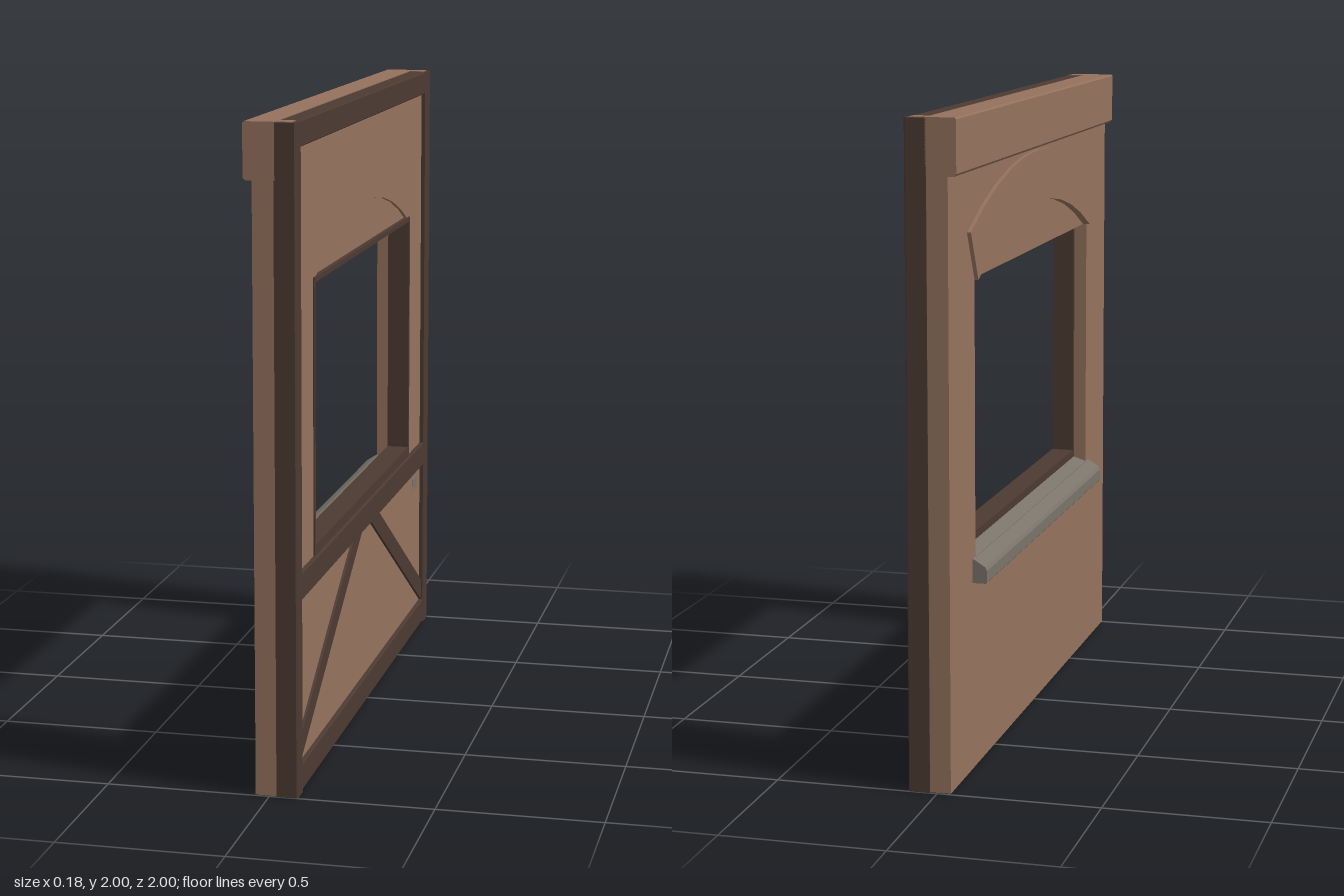
import * as THREE from 'three';

const plaster = new THREE.MeshStandardMaterial({ color: 0x94725d, name: 'plasterBrown', flatShading: true });
const timber = new THREE.MeshStandardMaterial({ color: 0x4c3a32, name: 'darkTimber', flatShading: true });
const stone = new THREE.MeshStandardMaterial({ color: 0x7a746a, name: 'greyStone', flatShading: true });

// Points of a shallow arch running from z = -half to +half
function arch(half, base, top, n = 10) {
  const rise = top - base;
  const r = (half * half + rise * rise) / (2 * rise);
  const a = Math.asin(half / r);
  return Array.from({ length: n + 1 }, (_, i) => {
    const t = -a + (2 * a * i) / n;
    return new THREE.Vector2(r * Math.sin(t), top - r + r * Math.cos(t));
  });
}
const pts = (list) => list.map(([a, b]) => new THREE.Vector2(a, b));

export function createModel() {
  const group = new THREE.Group();
  const add = (name, geometry, material) => {
    const mesh = new THREE.Mesh(geometry, material);
    mesh.name = name;
    group.add(mesh);
    return mesh;
  };

  // Solid between x0 and x1 whose outline lies in the wall plane (-z, y)
  const slab = (name, outline, x0, x1, material, hole) => {
    const shape = new THREE.Shape(outline);
    if (hole) shape.holes.push(new THREE.Path(hole));
    const g = new THREE.ExtrudeGeometry(shape, { depth: x1 - x0, bevelEnabled: false });
    g.rotateY(Math.PI / 2).translate(x0, 0, 0);
    return add(name, g, material);
  };

  // Solid running along z with a cross-section in x, y
  const bar = (name, section, half, material) => {
    const g = new THREE.ExtrudeGeometry(new THREE.Shape(pts(section)), { depth: half * 2, bevelEnabled: false });
    return add(name, g.translate(0, 0, -half), material);
  };
  const box = (name, x0, x1, y0, y1, z0, z1, material) => add(name,
    new THREE.BoxGeometry(x1 - x0, y1 - y0, z1 - z0)
      .translate((x0 + x1) / 2, (y0 + y1) / 2, (z0 + z1) / 2), material);

  // Thick wall with an arched window opening, almost flush with the timbers
  const inner = arch(0.72, 1.5, 1.657);
  slab('wall', pts([[-0.998, 0.002], [0.998, 0.002], [0.998, 1.99], [-0.998, 1.99]]), -0.042, 0.07, plaster,
    [...pts([[0.72, 0.62], [-0.72, 0.62]]), ...inner]);

  // Recessed panel filling the arch, and the raised band around it
  slab('archPanel', inner, -0.03, 0.06, plaster);
  slab('archBand', [...inner, ...arch(0.8, 1.65, 1.822).reverse()], -0.054, -0.04, plaster);

  // Window frame lining the front part of the opening
  box('frameHead', 0, 0.074, 1.5, 1.516, -0.718, 0.718, timber);
  box('frameBase', 0, 0.074, 0.62, 0.7, -0.718, 0.718, timber);
  for (const s of [-1, 1]) {
    const z = [s * 0.705, s * 0.72].sort((a, b) => a - b);
    box('frameJamb', 0, 0.074, 0.66, 1.505, z[0], z[1], timber);
  }

  // Stone sill with a sloping top, its inset in the opening, and a bare stone in the wall
  bar('sill', [[-0.084, 0.585], [-0.04, 0.585], [-0.04, 0.66], [-0.052, 0.655], [-0.082, 0.636], [-0.088, 0.625], [-0.088, 0.59]],
    0.755, stone);
  bar('sillInset', [[-0.045, 0.615], [0.002, 0.615], [0.002, 0.675], [-0.045, 0.66]], 0.718, stone);
  box('bareStone', 0.066, 0.071, 0.517, 0.557, -0.89, -0.808, stone);

  // Heavy plaster-coloured beam along the top
  bar('topBeam', [[-0.06, 1.832], [0.025, 1.832], [0.025, 2], [-0.064, 2], [-0.068, 1.995], [-0.068, 1.84]], 1, plaster);

  // Horizontal rails
  const rail = (name, y0, y1) => bar(name,
    [[0.02, y0], [0.08, y0], [0.083, y0 + 0.003], [0.083, y1 - 0.003], [0.08, y1], [0.02, y1]], 0.945, timber);
  rail('bottomRail', 0, 0.082);
  rail('middleRail', 0.585, 0.668);
  rail('topRail', 1.922, 1.998);

  // Corner posts with chamfered edges, their tops and the diagonal braces
  for (const s of [-1, 1]) {
    const section = pts([[0.022, 0.936], [0.083, 0.936], [0.088, 0.941], [0.088, 0.995], [0.083, 1], [0.022, 1]]);
    // Rotation maps the section's second axis to -z, so the sign is flipped
    const outline = section.map((p) => new THREE.Vector2(p.x, -s * p.y));
    const g = new THREE.ExtrudeGeometry(new THREE.Shape(outline), { depth: 1.998, bevelEnabled: false });
    add('cornerPost', g.rotateX(-Math.PI / 2), timber);
    box('postTop', 0.024, 0.074, 1.996, 2, s * 0.967 - 0.025, s * 0.967 + 0.025, plaster);

    slab('brace', pts([[s * 0.945, 0.077], [s * 0.945, 0.152], [s * 0.19, 0.59], [s * 0.06, 0.59]]),
      0.02, 0.078, timber);
  }
  return group;
}
